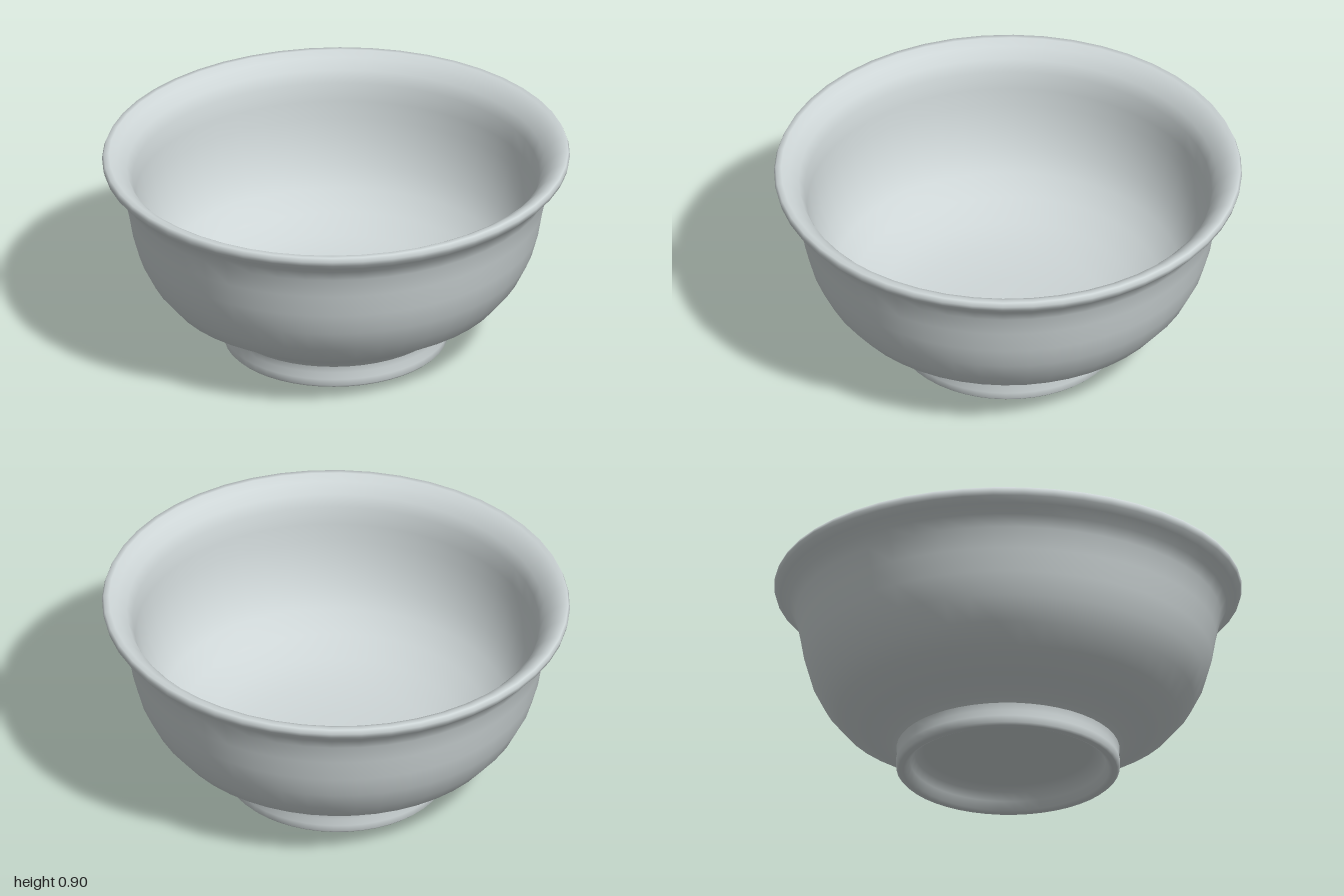
import * as THREE from 'three';

const SEGMENTS = 48;

// Revolve a profile, then lean it slightly like a hand-thrown pot
function turned(name, profile, material) {
  const points = profile.map(([r, y]) => new THREE.Vector2(r, y));
  const geometry = new THREE.LatheGeometry(points, SEGMENTS);
  const p = geometry.attributes.position;
  for (let i = 0; i < p.count; i++) {
    p.setY(i, p.getY(i) + 0.008 * p.getX(i) - 0.01 * p.getZ(i));
  }
  const mesh = new THREE.Mesh(geometry, material);
  mesh.name = name;
  return mesh;
}

export function createModel() {
  const glaze = new THREE.MeshStandardMaterial({ color: 0xcdd5d6 });
  glaze.name = 'pale grey glaze';

  const model = new THREE.Group();
  model.name = 'bowl';

  // Hollow foot: recessed underside, inner face, standing edge, outer face
  model.add(turned('footRing', [
    [0, 0.1], [0.2, 0.1], [0.36, 0.1], [0.395, 0.085], [0.415, 0.05],
    [0.43, 0.015], [0.445, 0.008], [0.465, 0.01], [0.475, 0.02],
    [0.477, 0.05], [0.47, 0.08], [0.475, 0.11],
  ], glaze));

  // Outer wall, flared rolled rim, inner wall and floor
  model.add(turned('bowlBody', [
    [0.475, 0.11], [0.5, 0.135], [0.6, 0.195], [0.72, 0.265], [0.79, 0.35],
    [0.84, 0.45], [0.868, 0.55], [0.885, 0.65], [0.905, 0.74], [0.93, 0.79],
    [0.968, 0.825], [0.99, 0.85], [0.995, 0.87], [0.988, 0.888],
    [0.965, 0.889], [0.93, 0.87], [0.89, 0.83], [0.866, 0.78],
    [0.855, 0.7], [0.845, 0.62], [0.825, 0.53], [0.79, 0.43],
    [0.735, 0.345], [0.65, 0.275], [0.54, 0.22], [0.4, 0.18],
    [0.2, 0.165], [0, 0.16],
  ], glaze));

  return model;
}
